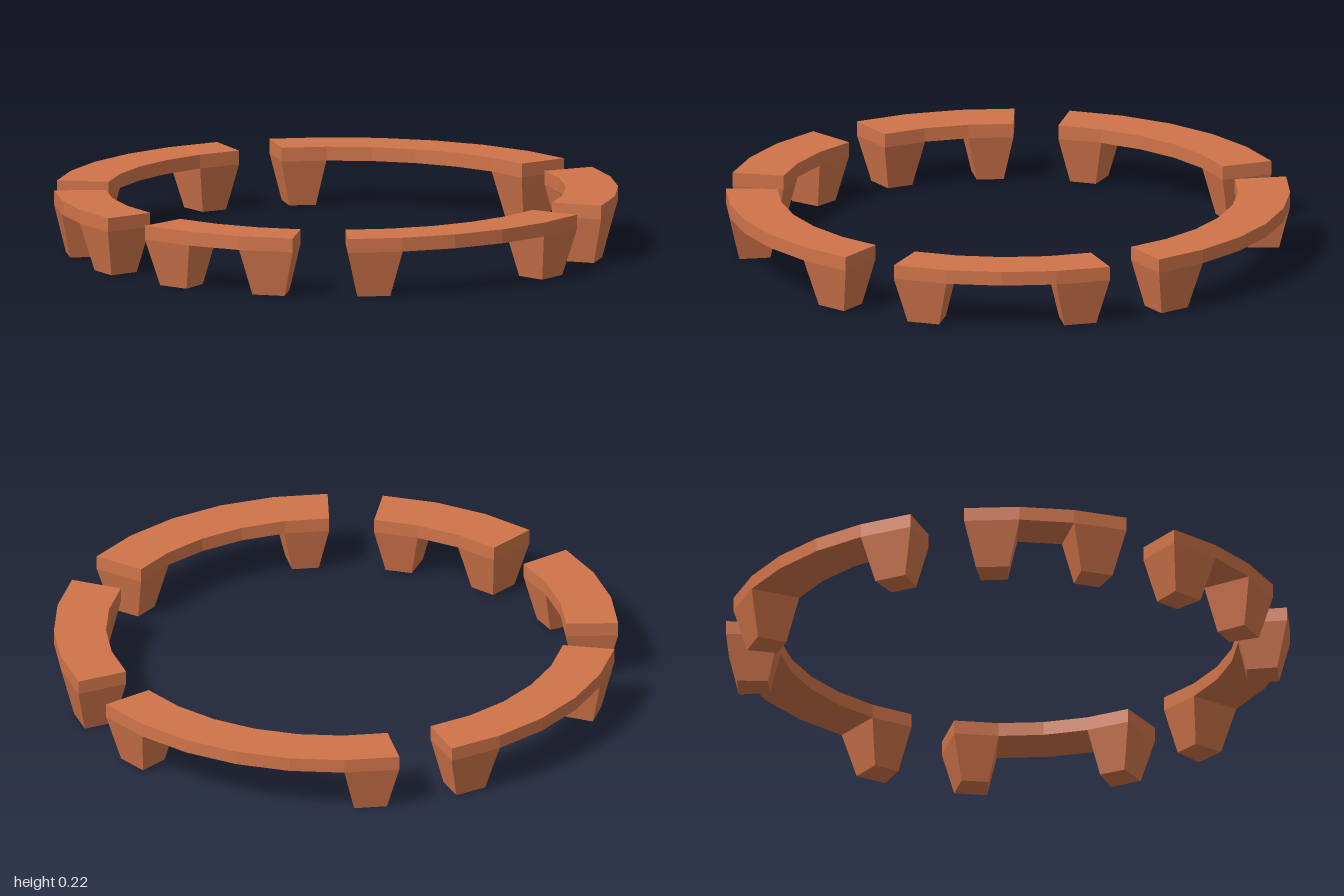
import * as THREE from 'three';

const STEP = Math.PI / 16; // the ring is divided into 32 straight segments
const OUTER = 1, INNER = 0.815;
const SEAT_TOP = 0.215, LEG_TOP = 0.165, LEG_TAPER = 0.6;

// First and last ring division of each bench
const BENCHES = [[0, 4], [5, 10], [11, 14], [15, 18], [19, 24], [25, 31]];

// Faceted arc between two ring divisions, extruded downwards from top to bottom
function arcBlock(from, to, top, bottom) {
  const points = [];
  const add = (r, i) => points.push(new THREE.Vector2(r * Math.cos(i * STEP), r * Math.sin(i * STEP)));
  for (let i = from; i <= to; i++) add(OUTER, i);
  for (let i = to; i >= from; i--) add(INNER, i);
  const geometry = new THREE.ExtrudeGeometry(new THREE.Shape(points), { depth: top - bottom, bevelEnabled: false });
  return geometry.rotateX(Math.PI / 2).translate(0, top, 0);
}

// One-segment block whose foot shrinks towards its own centre
function legBlock(i) {
  const geometry = arcBlock(i, i + 1, LEG_TOP, 0);
  const middle = (i + 0.5) * STEP;
  const radius = ((OUTER + INNER) / 2) * Math.cos(STEP / 2);
  const cx = radius * Math.cos(middle), cz = radius * Math.sin(middle);
  const p = geometry.attributes.position;
  for (let v = 0; v < p.count; v++) {
    if (p.getY(v) > LEG_TOP / 2) continue;
    p.setX(v, cx + (p.getX(v) - cx) * LEG_TAPER);
    p.setZ(v, cz + (p.getZ(v) - cz) * LEG_TAPER);
  }
  geometry.computeVertexNormals();
  return geometry;
}

export function createModel() {
  const model = new THREE.Group();
  model.name = 'benchRing';
  const material = new THREE.MeshStandardMaterial({ color: 0xd0744a, flatShading: true });

  BENCHES.forEach(([from, to], n) => {
    const bench = new THREE.Group();
    bench.name = `bench${n + 1}`;
    const add = (name, geometry) => {
      const mesh = new THREE.Mesh(geometry, material);
      mesh.name = name;
      bench.add(mesh);
    };
    add('seat', arcBlock(from, to, SEAT_TOP, LEG_TOP));
    // Legs sit under the two end segments
    add('firstLeg', legBlock(from));
    add('lastLeg', legBlock(to - 1));
    model.add(bench);
  });
  return model;
}
